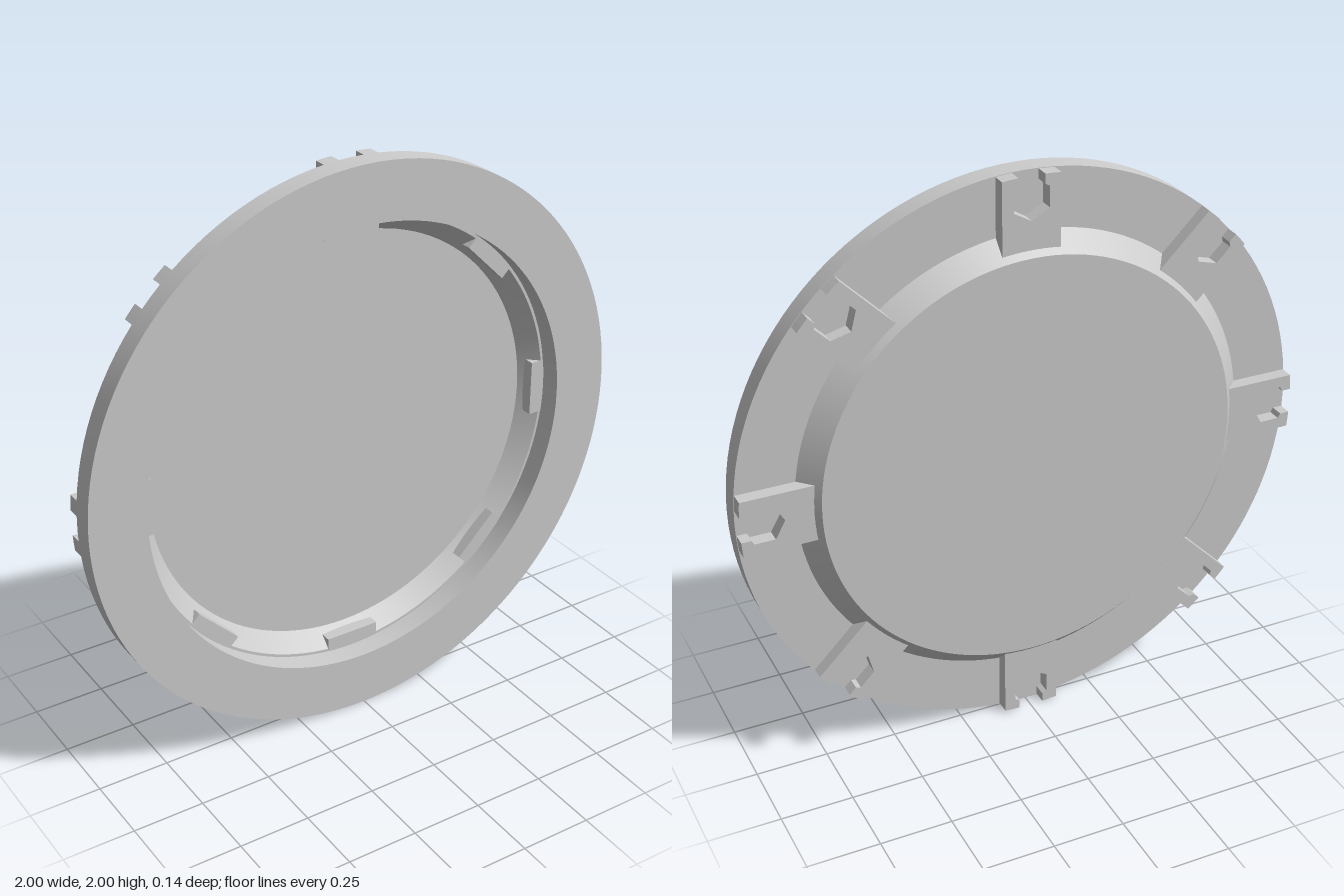
import * as THREE from 'three';
import { toCreasedNormals } from 'three/addons/utils/BufferGeometryUtils.js';

const material = new THREE.MeshStandardMaterial({ color: 0xcccccc });

// Flanged dish: closed profile of [radius, z], turned about the z axis
function createPlate() {
  const profile = [
    [0, -0.0725], [0.735, -0.0725], [0.8, -0.005], [1, -0.005], [1, 0.0725],
    [0.8, 0.0725], [0.8, -0.005], [0.79, -0.005], [0.73, -0.0625], [0, -0.0625],
  ].map(([r, z]) => new THREE.Vector2(r, z));
  const geometry = new THREE.LatheGeometry(profile, 128).rotateX(Math.PI / 2);
  const plate = new THREE.Mesh(toCreasedNormals(geometry, 0.4), material);
  plate.name = 'flangedPlate';
  return plate;
}

// Clamp block outline: radial direction is +y, hexagonal pocket opens at the rim
function createBlockGeometry() {
  const half = 0.1, inner = 0.745, rim = 0.998;
  const hexCentre = 0.92, hexRadius = 0.07, neck = 0.045;
  const onRim = (x) => Math.sqrt(rim * rim - x * x);
  const hexSide = hexRadius * Math.cos(Math.PI / 6);
  const hexTop = hexCentre + hexRadius / 2;
  const neckY = hexCentre + hexRadius - neck * Math.tan(Math.PI / 6);
  const right = [
    [half, inner], [half, onRim(half)], [0.075, onRim(0.075)], [neck, onRim(neck)],
    [neck, neckY], [hexSide, hexTop], [hexSide, hexCentre - hexRadius / 2],
  ];
  const left = right.map(([x, y]) => [-x, y]).reverse();
  const outline = [...right, [0, hexCentre - hexRadius], ...left];
  const shape = new THREE.Shape(outline.map(([x, y]) => new THREE.Vector2(x, y)));
  return new THREE.ExtrudeGeometry(shape, { depth: 0.049, bevelEnabled: false })
    .translate(0, 0, -0.053);
}

export function createModel() {
  const model = new THREE.Group();
  model.name = 'coverPlate';
  model.add(createPlate());

  // Eight clamp blocks around the back of the flange
  const blockGeometry = createBlockGeometry();
  for (let i = 0; i < 8; i++) {
    const block = new THREE.Mesh(blockGeometry, material);
    block.name = `clampBlock${i + 1}`;
    block.rotation.z = (i * Math.PI) / 4;
    model.add(block);
  }

  // Stand the rim on the ground
  model.children.forEach((part) => { part.position.y = 1; });
  return model;
}
